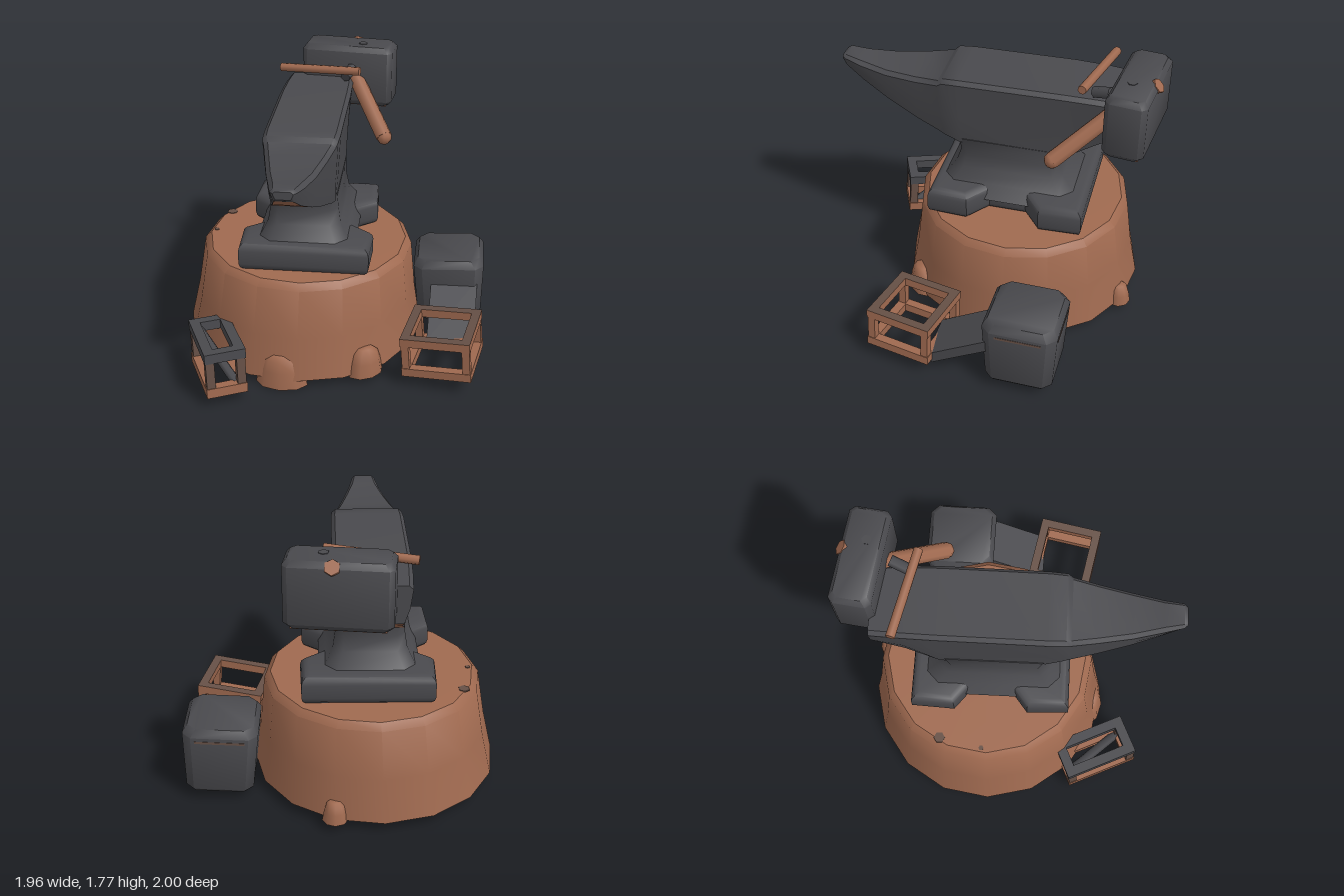
import * as THREE from 'three';
import { toCreasedNormals } from 'three/addons/utils/BufferGeometryUtils.js';

const std = (name, color, side = THREE.FrontSide) => {
  const m = new THREE.MeshStandardMaterial({ color, side });
  m.name = name;
  return m;
};
const iron = std('iron', 0x4a4a4e);
const wood = std('wood', 0xa06a50, THREE.DoubleSide);
const darkWood = std('darkWood', 0x665046);

function add(parent, name, geo, mat, x = 0, y = 0, z = 0) {
  const m = new THREE.Mesh(geo, mat);
  m.name = name;
  m.position.set(x, y, z);
  parent.add(m);
  return m;
}

function group(parent, name, x, y, z) {
  const g = new THREE.Group();
  g.name = name;
  g.position.set(x, y, z);
  parent.add(g);
  return g;
}

// Skin over closed rings; rings run counter-clockwise around the travel direction.
function loft(rings, crease, isSecond = () => false) {
  const n = rings[0].length, sets = [[], []];
  const tri = (k, ...pts) => pts.forEach(p => sets[k].push(...p));
  for (let i = 0; i < rings.length - 1; i++) {
    for (let j = 0; j < n; j++) {
      const a = rings[i][j], b = rings[i][(j + 1) % n];
      const c = rings[i + 1][(j + 1) % n], d = rings[i + 1][j];
      const k = isSecond(i, j) ? 1 : 0;
      tri(k, a, b, c);
      tri(k, a, c, d);
    }
  }
  const s = rings[0], e = rings[rings.length - 1];
  for (let j = 1; j < n - 1; j++) {
    tri(0, s[0], s[j + 1], s[j]);
    tri(0, e[0], e[j], e[j + 1]);
  }
  const geo = new THREE.BufferGeometry();
  geo.setAttribute('position', new THREE.Float32BufferAttribute([...sets[0], ...sets[1]], 3));
  geo.addGroup(0, sets[0].length / 3, 0);
  if (sets[1].length) geo.addGroup(sets[0].length / 3, sets[1].length / 3, 1);
  return toCreasedNormals(geo, crease);
}

// Horizontal octagon with cut corners
const octagon = (y, hx, z0, z1, c) => [
  [hx - c, y, z1], [hx, y, z1 - c], [hx, y, z0 + c], [hx - c, y, z0],
  [c - hx, y, z0], [-hx, y, z0 + c], [-hx, y, z1 - c], [c - hx, y, z1],
];

const lathe = (profile, sides) => new THREE.LatheGeometry(profile.map(p => new THREE.Vector2(...p)), sides);

// Round bar between two points
function bar(parent, name, mat, p, q, r, sides = 8) {
  const a = new THREE.Vector3(...p), b = new THREE.Vector3(...q);
  const m = add(parent, name, new THREE.CylinderGeometry(r, r, a.distanceTo(b), sides), mat);
  m.position.copy(a).lerp(b, 0.5);
  m.quaternion.setFromUnitVectors(new THREE.Vector3(0, 1, 0), b.sub(a).normalize());
}

// Open cage: a top and a bottom rim joined by four posts
function cage(parent, name, w, h, d, t, topMat, postMat, baseMat) {
  const g = group(parent, name, 0, 0, 0);
  for (const [label, y, mat] of [['topRim', h / 2 - t / 2, topMat], ['bottomRim', t / 2 - h / 2, baseMat]]) {
    for (const s of [-1, 1]) {
      add(g, label, new THREE.BoxGeometry(w, t, t), mat, 0, y, s * (d - t) / 2);
      add(g, label, new THREE.BoxGeometry(t, t, d - 2 * t), mat, s * (w - t) / 2, y, 0);
    }
  }
  for (const sx of [-1, 1]) for (const sz of [-1, 1]) {
    add(g, 'post', new THREE.BoxGeometry(t * 0.85, h - 2 * t, t * 0.85), postMat, sx * (w - t) / 2, 0, sz * (d - t) / 2);
  }
  return g;
}

function buildStump(root) {
  const geo = lathe([[0.765, 0.06], [0.712, 0.33], [0.67, 0.64], [0.63, 0.68], [0, 0.69]], 16);
  // Lean the trunk slightly towards +x
  const pos = geo.attributes.position;
  for (let i = 0; i < pos.count; i++) pos.setX(i, pos.getX(i) + 0.04 * (pos.getY(i) - 0.06));
  add(root, 'stump', toCreasedNormals(geo, 0.72), wood, -0.22, 0, -0.15);
  // Root knuckles at the foot: x, y, z, half width, height, half depth, turn
  for (const [x, y, z, w, h, d, turn] of [
    [-0.31, 0, 0.53, 0.165, 0.215, 0.1, -0.1],
    [0.2, 0.04, 0.45, 0.12, 0.18, 0.085, 0.6],
    [0.07, 0.05, -0.83, 0.08, 0.13, 0.08, -0.4],
  ]) {
    const knuckle = add(root, 'rootKnuckle', lathe([[1, 0], [0.86, 0.5], [0.7, 0.82], [0.42, 0.98], [0, 1]], 9), wood, x, y, z);
    knuckle.scale.set(w, h, d);
    knuckle.rotation.y = turn;
  }
  for (const [x, z, r] of [[-0.73, -0.44, 0.035], [-0.795, -0.18, 0.016]]) {
    add(root, 'stumpKnot', new THREE.CylinderGeometry(r, r, 0.008, 6), darkWood, x, 0.681, z);
  }
}

function buildAnvil(root) {
  const anvil = group(root, 'anvil', -0.175, 0, -0.11);
  anvil.rotation.y = -0.045;

  // Foot with four flared corners
  const half = [[0.375, 0.465], [0.385, 0.23], [0.245, 0.12], [0.245, -0.13], [0.385, -0.24], [0.375, -0.465]];
  const outline = [...half, ...half.map(([x, z]) => [-x, z]).reverse()];
  const b = 0.05;
  const foot = new THREE.ExtrudeGeometry(new THREE.Shape(outline.map(p => new THREE.Vector2(...p))), {
    depth: 0.185 - 2 * b, bevelEnabled: true, bevelThickness: b, bevelSize: b, bevelOffset: -b * 0.6, bevelSegments: 3,
  });
  foot.rotateX(-Math.PI / 2);
  add(anvil, 'anvilFoot', toCreasedNormals(foot, 0.7), iron, 0.012, 0.68 + b, 0);

  // Waist
  add(anvil, 'anvilWaist', loft([
    octagon(0.78, 0.31, -0.44, 0.46, 0.07), octagon(0.87, 0.265, -0.39, 0.42, 0.07),
    octagon(0.95, 0.222, -0.32, 0.36, 0.06), octagon(1.04, 0.208, -0.29, 0.33, 0.05),
    octagon(1.14, 0.203, -0.31, 0.35, 0.04),
  ], 0.95), iron);

  // Heel, face and horn: z, half width above, in the middle, and below, top, bottom
  const sections = [
    [-0.68, 0.21, 0.195, 0.165, 1.55, 1.32], [-0.5, 0.22, 0.2, 0.17, 1.56, 1.215],
    [-0.3, 0.225, 0.207, 0.198, 1.565, 1.1], [0.33, 0.225, 0.21, 0.195, 1.56, 1.11],
    [0.43, 0.22, 0.207, 0.18, 1.555, 1.14], [0.46, 0.208, 0.198, 0.175, 1.53, 1.155],
    [0.61, 0.178, 0.168, 0.15, 1.513, 1.21], [0.81, 0.138, 0.128, 0.115, 1.505, 1.3],
    [0.98, 0.098, 0.09, 0.078, 1.52, 1.39], [1.09, 0.075, 0.066, 0.055, 1.538, 1.465],
    [1.112, 0.055, 0.05, 0.04, 1.53, 1.485],
  ];
  const rings = sections.map(([z, w, v, f, t, u]) => {
    const c = Math.min(0.024, (t - u) * 0.25), m = u + (t - u) * 0.4;
    return [[w, t - c, z], [w - c, t, z], [c - w, t, z], [-w, t - c, z],
      [-v, m, z], [-f, u, z], [f, u, z], [v, m, z]];
  });
  // The undersides of the heel and horn are brown
  add(anvil, 'anvilTop', loft(rings, 0.75, (i, j) => j === 5 && (i < 2 || (i > 2 && i < 9))), [iron, wood]);
}

function buildHammer(root) {
  const head = group(root, 'hammerHead', 0.042, 1.56, -0.835);
  head.rotation.y = -0.17;
  const ring = (y, k) => octagon(y, 0.297 - k, k - 0.122, 0.122 - k, 0.03);
  add(head, 'hammerBlock', loft([ring(-0.198, 0.025), ring(-0.165, 0), ring(0.165, 0), ring(0.198, 0.025)], 0.9), iron);
  add(head, 'hammerUnderside', new THREE.BoxGeometry(0.52, 0.008, 0.18), wood, 0, -0.199, 0);
  add(head, 'topRivet', new THREE.CylinderGeometry(0.03, 0.03, 0.01, 6), iron, 0.09, 0.197, 0.02);
  // Handle end showing at the upper back edge
  const plug = add(head, 'handlePlug', new THREE.CylinderGeometry(0.045, 0.045, 0.018, 6), wood, 0.03, 0.172, -0.113);
  plug.rotation.x = -0.85;
  bar(root, 'hammerHandle', wood, [0.06, 1.58, -0.78], [0.28, 1.27, -0.39], 0.052);
  add(root, 'handleEnd', new THREE.SphereGeometry(0.05, 8, 5), wood, 0.28, 1.27, -0.39);
  // Loose rod and its short iron peg
  bar(root, 'rod', wood, [-0.4, 1.635, -0.66], [0.115, 1.662, -0.52], 0.027);
  bar(root, 'peg', iron, [0.02, 1.6, -0.58], [0.06, 1.63, -0.68], 0.034, 6);
}

function buildSideTools(root) {
  // Heavy tapered block
  const block = group(root, 'heavyBlock', 0.742, 0.28, -0.34);
  block.rotation.set(0, -0.06, 0.05);
  const ring = (y, r, c) => octagon(y, r, -r, r, c);
  add(block, 'blockBody', loft([ring(-0.222, 0.19, 0.045), ring(-0.2, 0.207, 0.05),
    ring(0.18, 0.228, 0.055), ring(0.228, 0.2, 0.055)], 0.9), iron);
  add(block, 'blockBand', new THREE.BoxGeometry(0.008, 0.015, 0.28), darkWood, 0.225, 0.15, 0);
  add(block, 'blockBand', new THREE.BoxGeometry(0.3, 0.015, 0.008), darkWood, 0, 0.15, -0.225);

  // Sloping plank between the block and the brown cage
  const plank = add(root, 'plank', new THREE.BoxGeometry(0.3, 0.07, 0.46), iron, 0.75, 0.22, 0.02);
  plank.rotation.set(0.53, -0.08, 0, 'YXZ');

  // Brown cage with a weathered upper rim
  const weathered = [wood, wood, darkWood, wood, wood, wood];
  const brown = cage(root, 'brownCage', 0.43, 0.265, 0.42, 0.055, weathered, wood, wood);
  brown.position.set(0.675, 0.22, 0.375);
  brown.rotation.set(0, -0.24, 0.09);

  const dark = cage(root, 'darkCage', 0.25, 0.295, 0.47, 0.062, iron, darkWood, wood);
  dark.position.set(-0.7, 0.2, 0.56);
  dark.rotation.set(-0.07, 0.38, 0, 'YXZ');
  bar(dark, 'brace', iron, [-0.07, 0.1, -0.18], [0.07, -0.11, 0.18], 0.03, 6);
}

export function createModel() {
  const root = new THREE.Group();
  root.name = 'anvilOnStump';
  buildStump(root);
  buildAnvil(root);
  buildHammer(root);
  buildSideTools(root);
  return root;
}
